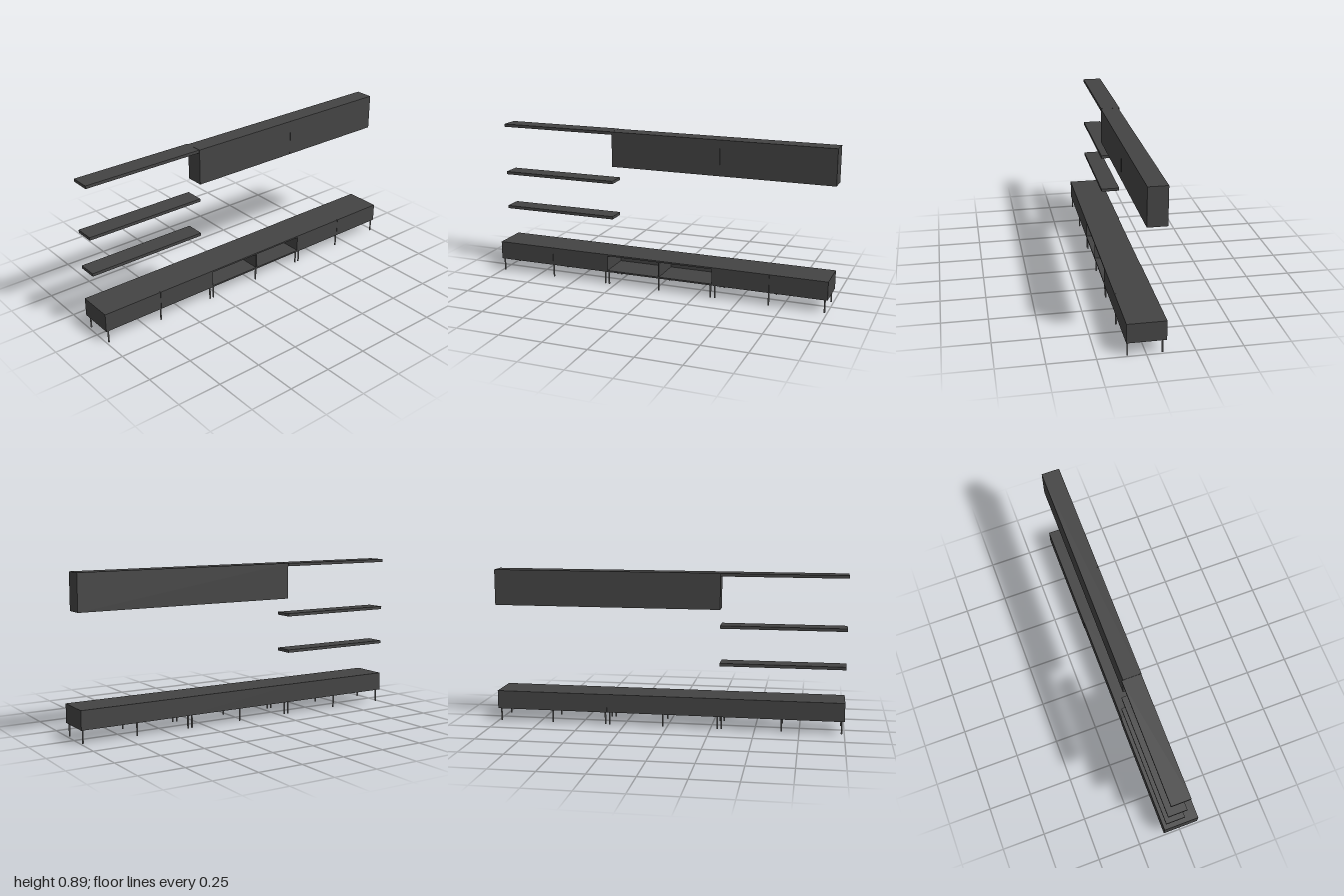
import * as THREE from 'three';

export function createModel() {
  const root = new THREE.Group();
  const dark = new THREE.MeshStandardMaterial({ color: 0x444444 });
  const metal = new THREE.MeshStandardMaterial({ color: 0x777777 });

  // Box given by its minimum and maximum on each axis
  function box(parent, name, [x0, x1], [y0, y1], [z0, z1]) {
    const mesh = new THREE.Mesh(new THREE.BoxGeometry(x1 - x0, y1 - y0, z1 - z0), dark);
    mesh.position.set((x0 + x1) / 2, (y0 + y1) / 2, (z0 + z1) / 2);
    mesh.name = name;
    parent.add(mesh);
    return mesh;
  }

  function group(name) {
    const g = new THREE.Group();
    g.name = name;
    root.add(g);
    return g;
  }

  const back = -0.102, front = 0.103, base = 0.074, top = 0.18;
  const doorT = 0.008, gap = 0.0008;

  // Closed body with two flat doors on its front
  function cabinet(name, [x0, x1], [y0, y1], [z0, z1]) {
    const g = group(name);
    box(g, 'carcass', [x0, x1], [y0, y1], [z0, z1 - doorT]);
    const mid = (x0 + x1) / 2;
    box(g, 'doorRight', [x0, mid - gap], [y0, y1], [z1 - doorT, z1]);
    box(g, 'doorLeft', [mid + gap, x1], [y0, y1], [z1 - doorT, z1]);
  }

  // Low sideboard: closed cabinets either side of an open one
  const seamR = -0.301, seamL = 0.349;
  cabinet('lowCabinetRight', [-1, seamR], [base, top], [back, front]);
  cabinet('lowCabinetLeft', [seamL, 1], [base, top], [back, front]);

  const open = group('openCabinet');
  const t = 0.009, mid = (seamR + seamL) / 2, rear = back + 0.002;
  box(open, 'topPanel', [seamR, seamL], [top - t, top], [rear, front]);
  box(open, 'bottomPanel', [seamR, seamL], [base, base + t], [rear, front]);
  const inner = [base + t, top - t];
  box(open, 'backPanel', [seamR, seamL], inner, [rear, rear + t]);
  for (const [name, x] of [['sideRight', seamR + 0.003], ['divider', mid], ['sideLeft', seamL - 0.003]])
    box(open, name, [x - 0.003, x + 0.003], inner, [rear + t, front]);

  // Slim round legs at module ends and middles, front and back
  const legs = group('legs');
  const legGeo = new THREE.CylinderGeometry(0.0045, 0.0045, base, 16);
  for (const x of [-0.985, -0.65, -0.312, -0.288, 0.024, 0.336, 0.361, 0.673, 0.985]) {
    for (const z of [0.095, -0.083]) {
      const leg = new THREE.Mesh(legGeo, metal);
      leg.position.set(x, base / 2, z);
      leg.name = z > 0 ? 'frontLeg' : 'backLeg';
      legs.add(leg);
    }
  }

  // Hanging wall cabinet
  cabinet('wallCabinet', [-0.3, 1], [0.684, 0.888], [-0.094, 0.009]);

  // Wall shelves
  const shelves = group('shelves');
  for (const y of [0.367, 0.58, 0.871])
    box(shelves, 'shelf', [-1, -0.301], [y, y + 0.017], [back, 0.007]);

  return root;
}
